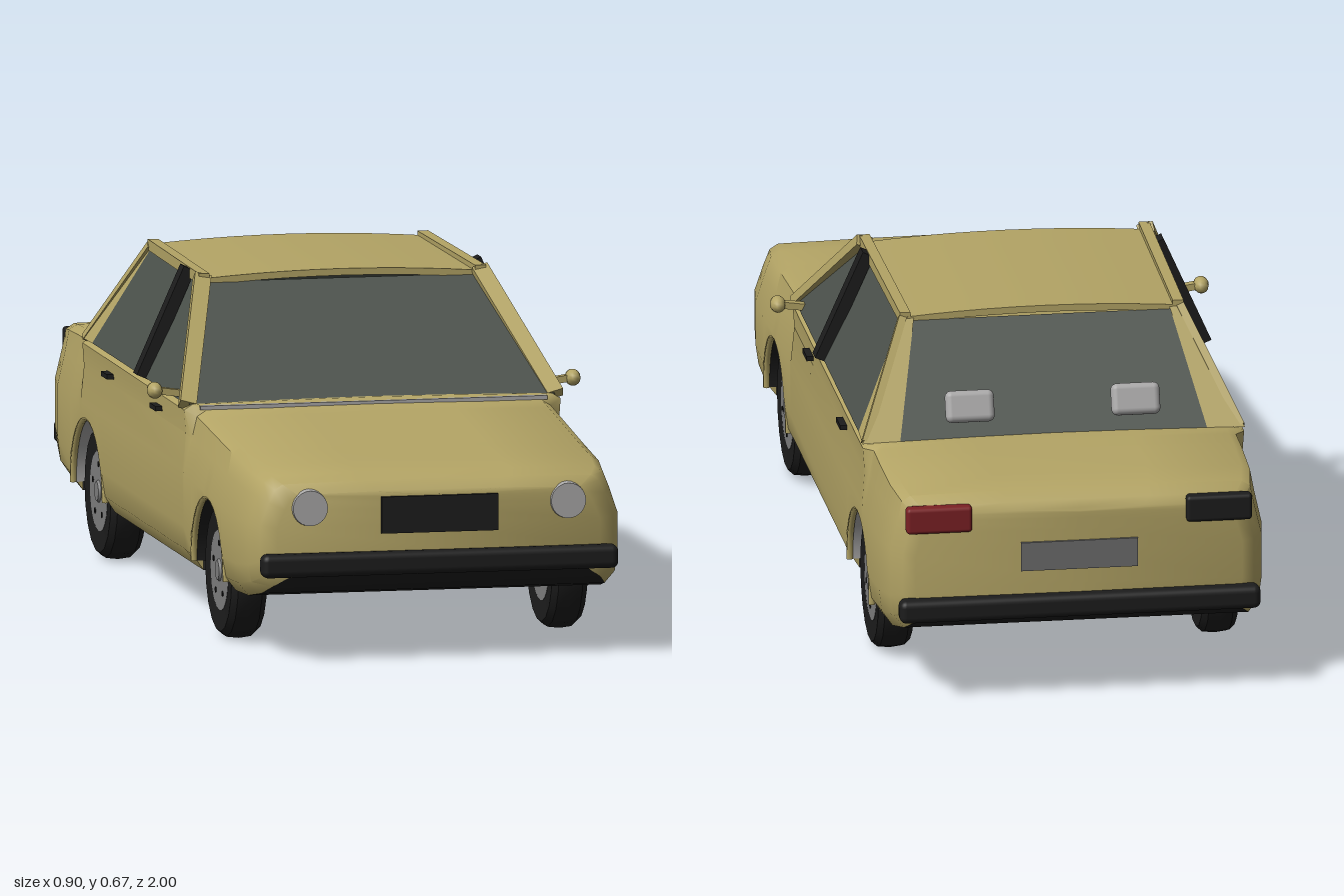
import * as THREE from 'three';
import { toCreasedNormals } from 'three/addons/utils/BufferGeometryUtils.js';
import { RoundedBoxGeometry } from 'three/addons/geometries/RoundedBoxGeometry.js';

const mat = (name, color, side = THREE.FrontSide) => {
  const m = new THREE.MeshStandardMaterial({ color, side });
  m.name = name;
  return m;
};
const V = (x, y, z) => new THREE.Vector3(x, y, z);

// Body stations: z, lower edge, top, half width, width ratio of the top edge
const KEYS = [
  [0.98, 0.2, 0.34, 0, 0.92], [0.975, 0.18, 0.35, 0.335, 0.92], [0.955, 0.16, 0.37, 0.366, 0.92],
  [0.92, 0.142, 0.383, 0.383, 0.92], [0.84, 0.127, 0.393, 0.393, 0.92], [0.7, 0.12, 0.405, 0.395, 0.92],
  [0.36, 0.12, 0.438, 0.395, 0.93], [0.345, 0.12, 0.45, 0.395, 0.99], [-0.62, 0.12, 0.452, 0.395, 0.99],
  [-0.64, 0.12, 0.452, 0.395, 0.94], [-0.72, 0.122, 0.45, 0.395, 0.94], [-0.85, 0.135, 0.445, 0.392, 0.94],
  [-0.93, 0.155, 0.436, 0.38, 0.94], [-0.962, 0.175, 0.42, 0.36, 0.94], [-0.973, 0.19, 0.405, 0.335, 0.94],
  [-0.976, 0.2, 0.4, 0, 0.94],
];
const AXLES = [0.575, -0.57], ARCH = 0.152, HUB = 0.14;

function station(z) {
  let i = 0;
  while (i < KEYS.length - 2 && z < KEYS[i + 1][0]) i++;
  const [a, b] = [KEYS[i], KEYS[i + 1]], t = (a[0] - z) / (a[0] - b[0]);
  return a.map((v, k) => v + (b[k] - v) * t);
}
function archHeight(z) {
  const d = Math.min(...AXLES.map(c => Math.abs(z - c)));
  return d < ARCH - 1e-6 ? HUB + Math.sqrt(ARCH * ARCH - d * d) : 0;
}

// Joins rows of points into a surface
function loft(rows) {
  const n = rows[0].length, index = [];
  for (let i = 0; i < rows.length - 1; i++) for (let j = 0; j < n - 1; j++) {
    const a = i * n + j, d = a + n;
    index.push(a, d, a + 1, a + 1, d, d + 1);
  }
  const g = new THREE.BufferGeometry().setFromPoints(rows.flat());
  g.setIndex(index);
  g.computeVertexNormals();
  return g;
}

function bodyRow(z) {
  const [, b, t, w, k] = station(z), h = t - b, arch = archHeight(z);
  const side = [[0.93, b], [0.985, b + 0.1 * h], [1, b + 0.25 * h], [1, b + 0.6 * h],
    [0.975 * 0.6 + k * 0.4, b + 0.82 * h], [k, t - 0.012], [k - 0.045, t - 0.001], [0.4, t + 0.002]]
    .map(([x, y]) => [x * w, Math.max(y, arch)]);
  return [...side.map(([x, y]) => V(x, y, z)), V(0, t + 0.003, z),
    ...side.reverse().map(([x, y]) => V(-x, y, z))];
}

export function createModel() {
  const car = new THREE.Group();
  car.name = 'car';
  const paint = mat('gold paint', 0xb3a465, THREE.DoubleSide);
  const glass = mat('tinted glass', 0x4c524c, THREE.DoubleSide);
  const black = mat('black trim', 0x1c1c1c, THREE.DoubleSide);
  const metal = mat('light metal', 0xa9a8a8, THREE.DoubleSide);
  const rimGrey = mat('rim grey', 0x808080);
  const plateGrey = mat('plate grey', 0x6c6c6c);
  const red = mat('red lens', 0x7a2024);

  const add = (name, geo, m, x = 0, y = 0, z = 0, parent = car) => {
    const mesh = new THREE.Mesh(geo, m);
    mesh.name = name;
    mesh.position.set(x, y, z);
    parent.add(mesh);
    return mesh;
  };
  const box = (name, m, w, h, d, x, y, z) => add(name, new THREE.BoxGeometry(w, h, d), m, x, y, z);
  const quad = (name, m, a, b, c, d) => add(name, loft([[a, b], [d, c]]), m);
  const beam = (name, m, a, b, w, d) => {
    const dir = b.clone().sub(a), mid = a.clone().add(b).multiplyScalar(0.5);
    const mesh = box(name, m, w, dir.length(), d, mid.x, mid.y, mid.z);
    mesh.quaternion.setFromUnitVectors(V(0, 1, 0), dir.normalize());
    return mesh;
  };

  // Body shell with wheel arches, and the floor
  const zs = KEYS.map(k => k[0]);
  for (const c of AXLES) {
    for (let i = 0; i <= 14; i++) zs.push(c + ARCH * Math.cos(i * Math.PI / 14));
    zs.push(c + ARCH - 0.001, c - ARCH + 0.001);
  }
  zs.sort((a, b) => b - a);
  add('body', toCreasedNormals(loft(zs.map(bodyRow)), 0.7), paint);
  add('floor', loft(zs.map(z => {
    const [, b, , w] = station(z), x = archHeight(z) ? 0.27 : w * 0.93;
    return [V(-x, b, z), V(x, b, z)];
  })), black);

  // Roof with a slight crown
  const roof = new THREE.BoxGeometry(0.57, 0.014, 0.505, 10, 1, 6);
  const rp = roof.attributes.position;
  for (let i = 0; i < rp.count; i++) {
    const x = rp.getX(i) / 0.285;
    rp.setY(i, rp.getY(i) + 0.012 * (1 - x * x));
  }
  roof.computeVertexNormals();
  add('roof', roof, paint, 0, 0.655, -0.205);

  // Windscreen and rear window
  quad('windscreen', glass, V(-0.38, 0.448, 0.342), V(0.38, 0.448, 0.342), V(0.28, 0.655, 0.045), V(-0.28, 0.655, 0.045));
  quad('rearWindow', glass, V(-0.315, 0.45, -0.625), V(0.315, 0.45, -0.625), V(0.265, 0.655, -0.457), V(-0.265, 0.655, -0.457));
  box('cowlStrip', metal, 0.72, 0.008, 0.012, 0, 0.443, 0.355);

  for (const s of [1, -1]) {
    // Side windows and pillars
    quad('sideWindow', glass, V(s * 0.388, 0.45, 0.335), V(s * 0.388, 0.45, -0.54), V(s * 0.285, 0.658, -0.445), V(s * 0.285, 0.658, 0.045));
    quad('rearPillarSide', paint, V(s * 0.388, 0.45, -0.54), V(s * 0.392, 0.45, -0.625), V(s * 0.28, 0.66, -0.457), V(s * 0.285, 0.66, -0.44));
    quad('rearPillarBack', paint, V(s * 0.315, 0.45, -0.625), V(s * 0.392, 0.45, -0.625), V(s * 0.28, 0.66, -0.457), V(s * 0.262, 0.66, -0.457));
    beam('frontPillar', paint, V(s * 0.382, 0.445, 0.335), V(s * 0.288, 0.665, 0.045), 0.034, 0.022);
    beam('rearPillarEdge', paint, V(s * 0.385, 0.45, -0.615), V(s * 0.285, 0.66, -0.452), 0.016, 0.016);
    beam('roofRail', paint, V(s * 0.287, 0.663, 0.06), V(s * 0.28, 0.661, -0.457), 0.022, 0.022);
    beam('centrePillar', black, V(s * 0.395, 0.452, -0.05), V(s * 0.297, 0.672, -0.05), 0.025, 0.036);

    // Mirror and door handles
    add('mirror', new THREE.SphereGeometry(0.017, 10, 8), paint, s * 0.434, 0.468, 0.262).scale.set(0.95, 1, 1.5);
    beam('mirrorArm', paint, V(s * 0.375, 0.46, 0.262), V(s * 0.43, 0.468, 0.262), 0.014, 0.018);
    for (const z of [0.1, -0.36]) box('doorHandle', black, 0.016, 0.01, 0.056, s * 0.395, 0.41, z);

    // Headlight, headrest and seat base
    const lamp = add('headlight', new THREE.CylinderGeometry(0.036, 0.04, 0.035, 24), metal, s * 0.268, 0.322, 0.966);
    lamp.rotation.x = Math.PI / 2;
    add('headrest', new RoundedBoxGeometry(0.1, 0.065, 0.03, 3, 0.013), metal, s * 0.17, 0.515, -0.607).rotation.x = 0.35;
    box('seatBase', metal, 0.155, 0.016, 0.19, s * 0.175, 0.113, 0.075);

    // Wheels, wells and arch lips
    AXLES.forEach((z, k) => {
      const lip = add('archLip', new THREE.TorusGeometry(ARCH, 0.007, 6, 20, Math.PI), paint, s * 0.388, HUB, z);
      lip.rotation.y = Math.PI / 2;
      const liner = new THREE.CylinderGeometry(ARCH - 0.001, ARCH - 0.001, 0.115, 18, 1, true, 0, Math.PI);
      add('wheelWell', liner.rotateZ(Math.PI / 2), k ? metal : black, s * 0.328, HUB, z);
      add('wellWall', new THREE.CircleGeometry(ARCH, 18, 0, Math.PI).rotateY(Math.PI / 2), black, s * 0.27, HUB, z);

      const wheel = new THREE.Group();
      wheel.name = 'wheel';
      wheel.position.set(s * 0.333, HUB + 0.002, z);
      wheel.rotation.z = -s * Math.PI / 2;
      car.add(wheel);
      const profile = [[0.08, -0.034], [0.125, -0.037], [0.136, -0.025], [0.139, 0], [0.136, 0.025], [0.125, 0.037], [0.08, 0.034]]
        .map(([r, h]) => new THREE.Vector2(r, h));
      add('tyre', toCreasedNormals(new THREE.LatheGeometry(profile, 18), 0.5), black, 0, 0, 0, wheel);
      add('rim', new THREE.CylinderGeometry(0.083, 0.083, 0.07, 24), rimGrey, 0, 0, 0, wheel);
      add('hubCap', new THREE.CylinderGeometry(0.02, 0.024, 0.006, 16), rimGrey, 0, 0.037, 0, wheel);
      for (let i = 0; i < 5; i++) {
        const a = i * Math.PI * 2 / 5;
        add('rimHole', new THREE.CylinderGeometry(0.006, 0.006, 0.003, 8), black, 0.055 * Math.cos(a), 0.035, 0.055 * Math.sin(a), wheel);
      }
    });

    // Bumpers, front then rear
    add(s > 0 ? 'frontBumper' : 'rearBumper', new RoundedBoxGeometry(0.74, 0.048, 0.042, 3, 0.014), black, 0, 0.206, s * 0.979);

    // Tail lamps, red on the left and dark on the right
    add('tailLamp', new RoundedBoxGeometry(0.135, 0.055, 0.03, 2, 0.008), s > 0 ? red : black, s * 0.287, 0.395, -0.968);
  }

  // Number plates without lettering
  box('frontPlate', black, 0.242, 0.075, 0.014, 0, 0.304, 0.98);
  box('rearPlate', plateGrey, 0.24, 0.06, 0.01, 0, 0.31, -0.976);
  return car;
}
